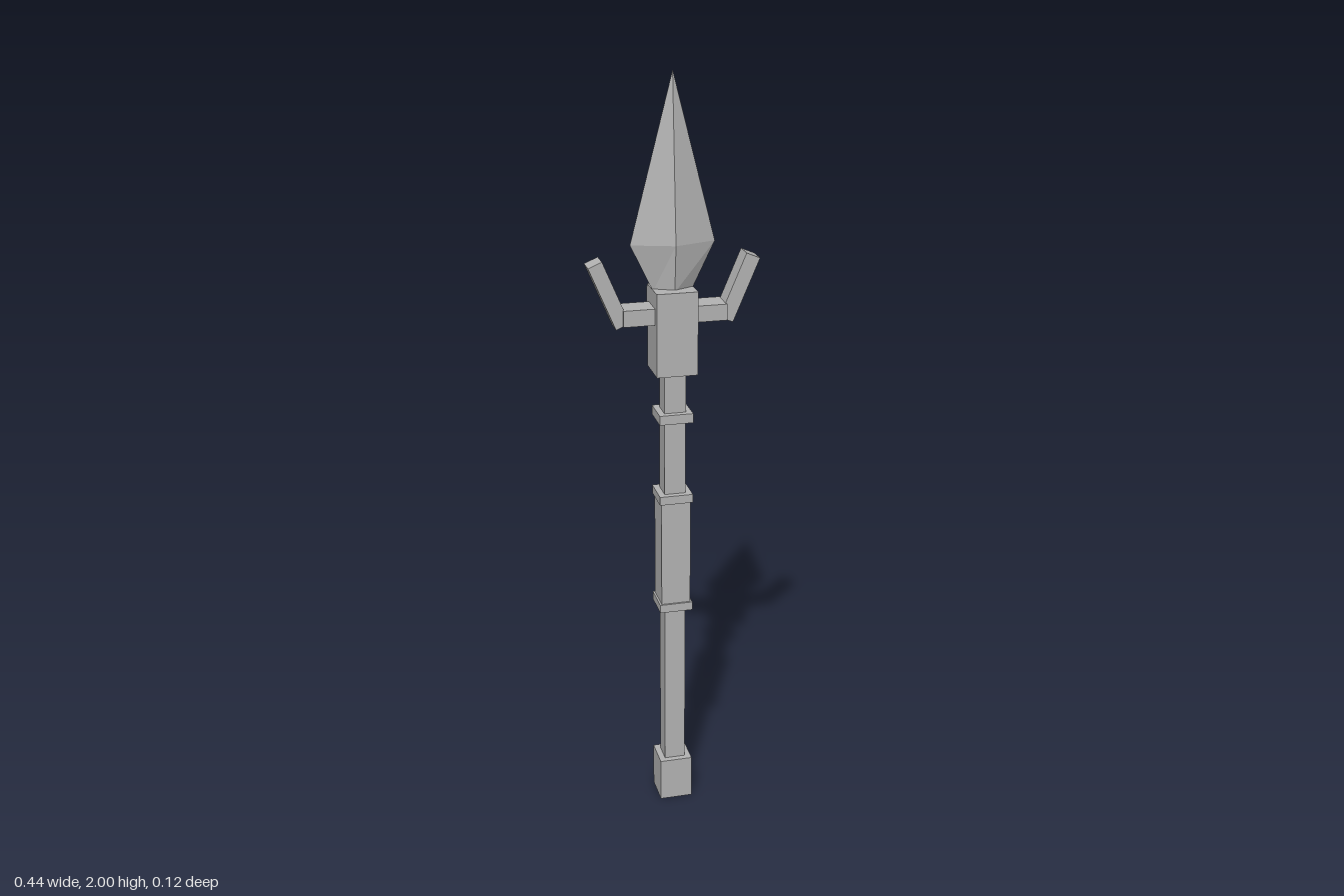
import * as THREE from 'three';

const Z = 0.0075; // depth of the spear's axis

export function createModel() {
  const group = new THREE.Group();
  group.name = 'spear';
  const metal = new THREE.MeshStandardMaterial({ color: 0xb4b4b4 });
  metal.name = 'plain grey';
  metal.flatShading = true;

  const add = (name, geometry) => {
    const mesh = new THREE.Mesh(geometry, metal);
    mesh.name = name;
    group.add(mesh);
    return mesh;
  };
  // Box centred on x, spanning y0..y1 and z0..z1
  const box = (name, halfX, y0, y1, z0 = Z - halfX, z1 = Z + halfX) => {
    const mesh = add(name, new THREE.BoxGeometry(halfX * 2, y1 - y0, z1 - z0));
    mesh.position.set(0, (y0 + y1) / 2, (z0 + z1) / 2);
    return mesh;
  };

  // Square pole, from butt to head
  box('buttCap', 0.044, 0, 0.121);
  box('shaft', 0.028, 0.121, 1.25);
  box('grip', 0.039, 0.59, 0.91);
  box('gripLowerCollar', 0.044, 0.583, 0.606);
  box('gripUpperCollar', 0.044, 0.896, 0.919);
  box('neckCollar', 0.044, 1.118, 1.143);

  // Head block with a stepped boss on its back
  box('headBlock', 0.053, 1.249, 1.466);
  box('backPlate', 0.053, 1.365, 1.457, -0.053, -0.044);
  box('backBoss', 0.027, 1.384, 1.437, -0.063, -0.052);

  // Cross arms with a slanted prong on each side
  box('crossArm', 0.133, 1.382, 1.424, Z - 0.035, Z + 0.035);
  for (const [side, s] of [['left', 1], ['right', -1]]) {
    const prong = add(side + 'Prong', new THREE.BoxGeometry(0.038, 0.175, 0.052));
    prong.position.set(s * 0.167, 1.4615, Z);
    prong.rotation.z = -s * 0.4;
  }

  // Blade: diamond cross-sections [y, half width, half depth] closing to a point
  const rings = [[1.46, 0.05, 0.024], [1.58, 0.108, 0.035], [2, 0, 0]]
    .map(([y, w, d]) => [[w, y, Z], [0, y, Z - d], [-w, y, Z], [0, y, Z + d]]);
  const points = [];
  for (let r = 0; r < 2; r++) {
    for (let i = 0; i < 4; i++) {
      const j = (i + 1) % 4;
      const [a, b, c, d] = [rings[r][i], rings[r][j], rings[r + 1][j], rings[r + 1][i]];
      points.push(a, b, c);
      if (r === 0) points.push(a, c, d);
    }
  }
  const [e, f, g, h] = rings[0];
  points.push(e, g, f, e, h, g);
  const blade = new THREE.BufferGeometry();
  blade.setAttribute('position', new THREE.Float32BufferAttribute(points.flat(), 3));
  blade.computeVertexNormals();
  add('blade', blade);

  return group;
}
